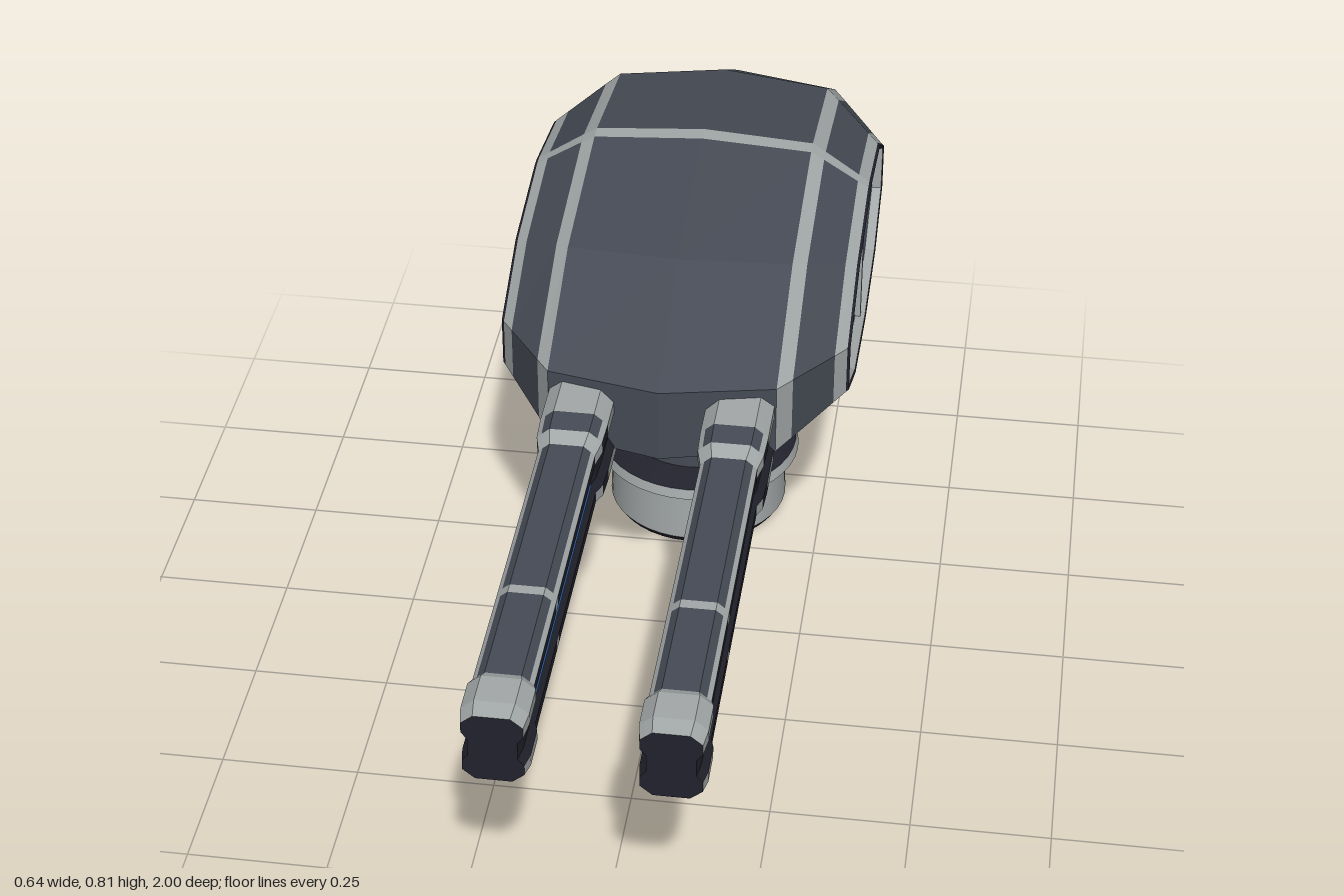
import * as THREE from 'three';

const flat = (name, color) => Object.assign(new THREE.MeshStandardMaterial({ color }), { name });
const panel = flat('slatePanel', 0x464b55);
const trim = flat('paleTrim', 0xa3a8a8);
const dark = flat('darkCore', 0x22222d);
const blue = flat('blueGlow', 0x3b7ddb);

// Skins a list of closed rings with flat faces; pick(i, j) chooses each face's material.
function loft(name, rings, pick, capMaterial) {
  const buckets = new Map();
  const put = (mat, ...pts) => {
    if (!buckets.has(mat)) buckets.set(mat, []);
    pts.forEach(p => buckets.get(mat).push(...p));
  };
  const n = rings[0].length;
  for (let i = 0; i < rings.length - 1; i++) {
    for (let j = 0; j < n; j++) {
      const k = (j + 1) % n;
      const a = rings[i][j], b = rings[i + 1][j], c = rings[i + 1][k], d = rings[i][k];
      put(pick(i, j), a, b, c, a, c, d);
    }
  }
  if (capMaterial) {
    const centre = r => [0, 1, 2].map(q => r.reduce((s, p) => s + p[q], 0) / n);
    const first = rings[0], last = rings[rings.length - 1];
    for (let j = 0; j < n; j++) {
      const k = (j + 1) % n;
      put(capMaterial, centre(first), first[j], first[k]);
      put(capMaterial, centre(last), last[k], last[j]);
    }
  }
  const geo = new THREE.BufferGeometry(), all = [], mats = [];
  for (const [mat, list] of buckets) {
    geo.addGroup(all.length / 3, list.length / 3, mats.length);
    list.forEach(v => all.push(v));
    mats.push(mat);
  }
  geo.setAttribute('position', new THREE.Float32BufferAttribute(all, 3));
  geo.computeVertexNormals();
  const mesh = new THREE.Mesh(geo, mats);
  mesh.name = name;
  return mesh;
}

// Side outline of the housing (z, y) about its centre; edges 0 and 6 carry the cross band.
const OUTLINE = [
  [-0.02, 0.23], [-0.055, 0.23], [-0.37, 0.18], [-0.575, 0.063], [-0.575, -0.08], [-0.37, -0.19],
  [-0.055, -0.225], [-0.02, -0.225], [0.32, -0.19], [0.575, -0.08], [0.575, 0.063], [0.32, 0.18],
];
const housingRing = ([x, sz, sy]) => OUTLINE.map(([z, y]) => [x, 0.58 + y * sy, -0.425 + z * sz]);
const mirrored = half => [...half.slice(1).reverse().map(([x, a, b]) => [-x, a, b]), ...half];

function makeHousing() {
  const group = new THREE.Group();
  group.name = 'housing';

  // Outer shell: x, z scale, y scale from the middle to the side opening
  const half = [
    [0, 1, 1], [0.205, 0.92, 0.95], [0.23, 0.854, 0.89], [0.295, 0.68, 0.72],
    [0.315, 0.626, 0.67], [0.32, 0.615, 0.65], [0.318, 0.602, 0.63], [0.3, 0.59, 0.61],
  ];
  const bands = [panel, trim, panel, trim, dark, dark, trim];
  const levels = mirrored(half);
  group.add(loft('housingShell', levels.map(housingRing), (i, j) => {
    const m = i < 7 ? 6 - i : i - 7;
    return m < 3 && j % 6 === 0 ? trim : bands[m];
  }));

  // Inner lining, facing inward
  const inner = mirrored([[0, 0.97, 0.96], [0.205, 0.89, 0.91], [0.3, 0.59, 0.61]]).reverse();
  group.add(loft('housingLining', inner.map(housingRing), () => panel));

  // Upright bar across each side opening
  for (const s of [-1, 1]) {
    const bar = new THREE.Mesh(new THREE.BoxGeometry(0.012, 0.28, 0.014), trim);
    bar.name = 'openingBar';
    bar.position.set(s * 0.304, 0.581, -0.445);
    group.add(bar);
  }
  return group;
}

// Barrel section: chamfered box with a groove along both sides
const RIGHT = [[0.6, 1], [0.85, 0.84], [1, 0.74], [1, 0.45], [0.8, 0.25]];
const RIGHT_HALF = [...RIGHT, ...RIGHT.map(([u, v]) => [u, -v]).reverse()];
const SECTION = [...RIGHT_HALF, ...RIGHT_HALF.map(([u, v]) => [-u, -v])];

function makeBarrel(side) {
  const group = new THREE.Group();
  group.name = side > 0 ? 'leftBarrel' : 'rightBarrel';

  // z, half width, half height, and the kind of stretch that follows
  const stations = [
    [-0.215, 0.045, 0.06, 'core'], [0.1, 0.045, 0.06, 'block'], [0.105, 0.06, 0.081, 'block'],
    [0.2, 0.06, 0.081, 'rail'], [0.25, 0.058, 0.078, 'block'], [0.28, 0.05, 0.068, 'rail'],
    [0.67, 0.05, 0.066, 'block'], [0.69, 0.05, 0.066, 'rail'], [0.895, 0.05, 0.066, 'block'],
    [0.91, 0.055, 0.072, 'block'], [0.97, 0.055, 0.072, 'block'], [1, 0.05, 0.065],
  ];
  const rings = stations.map(([z, w, h]) => SECTION.map(([u, v]) => [u * w, v * h, z]));
  group.add(loft('barrelBody', rings, (i, j) => {
    const e = j % 10, edge = e === 9 ? -1 : Math.min(e, 8 - e);
    const kind = stations[i][3];
    if (kind === 'core' || edge > 2) return dark;
    if (kind === 'block') return trim;
    return [panel, panel, trim, dark][edge + 1];
  }, dark));

  // Glowing strip in the groove facing the other barrel
  const strip = new THREE.Mesh(new THREE.BoxGeometry(0.006, 0.018, 0.58), blue);
  strip.name = 'glowStrip';
  strip.position.set(-side * 0.041, 0, 0.585);
  group.add(strip);

  group.position.set(side * 0.142, 0.543, 0);
  return group;
}

function makePedestal() {
  const group = new THREE.Group();
  group.name = 'pedestal';
  // part, bottom y, top y, bottom radius, top radius, material, closed ends
  const parts = [
    ['foot', 0, 0.015, 0.165, 0.175, dark, true],
    ['base', 0.015, 0.112, 0.175, 0.171, trim],
    ['collarUnderside', 0.112, 0.128, 0.171, 0.199, dark],
    ['collar', 0.128, 0.148, 0.199, 0.194, trim],
    ['collarTop', 0.148, 0.17, 0.194, 0.149, dark],
    ['column', 0.17, 0.43, 0.149, 0.149, panel, true],
  ];
  for (const [name, y0, y1, r0, r1, mat, closed] of parts) {
    const mesh = new THREE.Mesh(new THREE.CylinderGeometry(r1, r0, y1 - y0, 40, 1, !closed), mat);
    mesh.name = name;
    mesh.position.y = (y0 + y1) / 2;
    group.add(mesh);
  }
  group.position.z = -0.42;
  return group;
}

export function createModel() {
  const model = new THREE.Group();
  model.name = 'twinBarrelTurret';
  model.add(makeHousing(), makeBarrel(1), makeBarrel(-1), makePedestal());
  return model;
}
